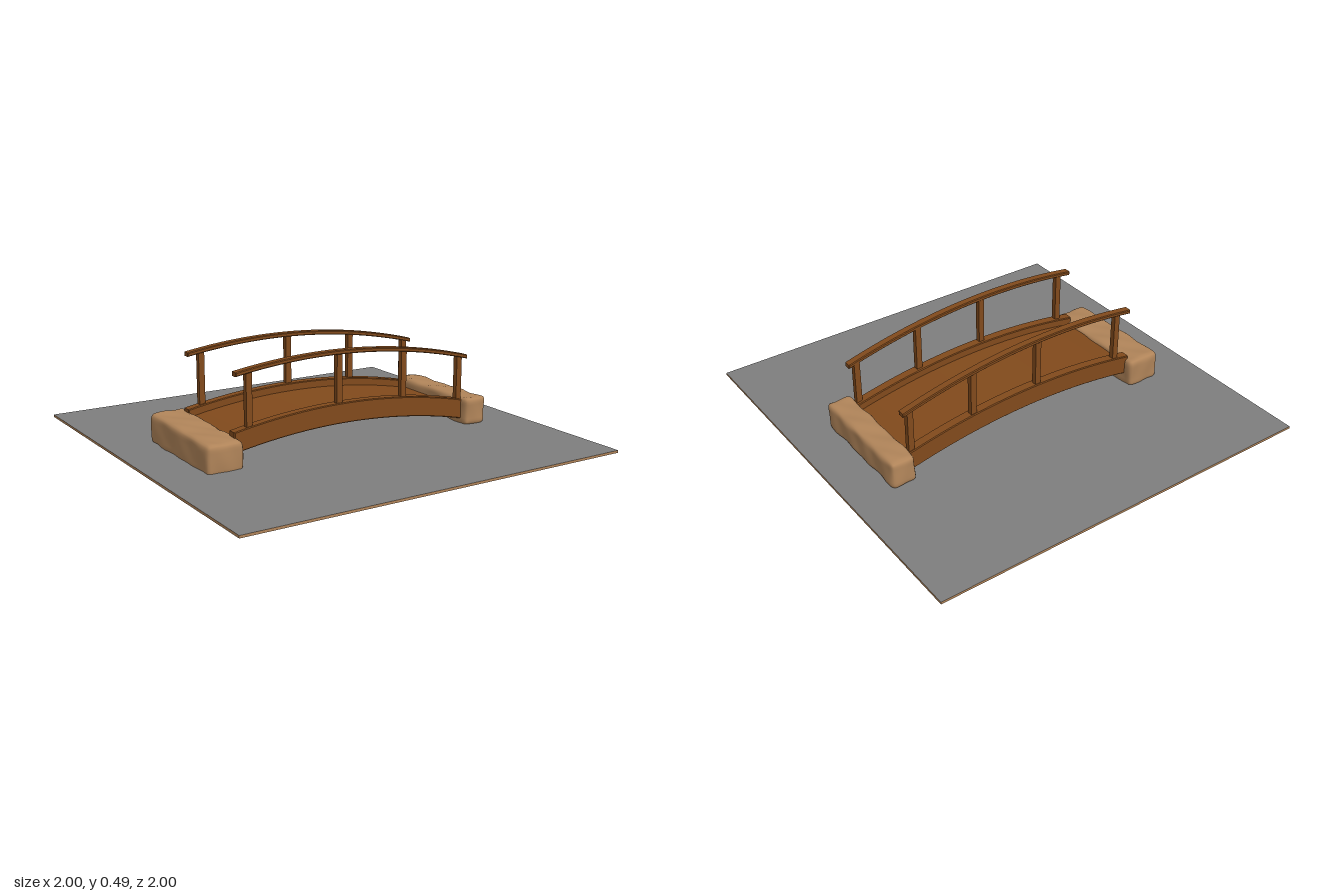
import * as THREE from 'three';
import { mergeVertices, toCreasedNormals } from 'three/addons/utils/BufferGeometryUtils.js';

const flat = (name, color) => {
  const m = new THREE.MeshStandardMaterial({ color });
  m.name = name;
  return m;
};

// Heights of the two arches along the bridge
const beamTop = (x) => 0.236 - 0.165 * (x + 0.04) ** 2;
const railTop = (x) => 0.491 - 0.165 * (x + 0.13) ** 2;

// Arched bar: a band below the given curve, extruded along z
function archedBar(topAt, thickness, x0, x1, z0, z1) {
  const steps = 28;
  const top = [], bottom = [];
  for (let i = 0; i <= steps; i++) {
    const x = THREE.MathUtils.lerp(x0, x1, i / steps);
    bottom.push(new THREE.Vector2(x, topAt(x) - thickness));
    top.unshift(new THREE.Vector2(x, topAt(x)));
  }
  const bevel = 0.004;
  const geometry = new THREE.ExtrudeGeometry(new THREE.Shape([...bottom, ...top]), {
    depth: z1 - z0 - 2 * bevel, bevelThickness: bevel, bevelSize: bevel,
    bevelOffset: -bevel, bevelSegments: 1,
  });
  geometry.translate(0, 0, z0 + bevel);
  return toCreasedNormals(geometry, 0.5);
}

// Worn stone block: a dense box with rounded edges and a gently wavy surface
function stoneBlock(w, h, d, seed) {
  const box = new THREE.BoxGeometry(w, h, d, 12, 12, 36);
  box.deleteAttribute('normal');
  box.deleteAttribute('uv');
  const geometry = mergeVertices(box);
  const pos = geometry.attributes.position;
  const r = 0.024;
  const half = new THREE.Vector3(w / 2 - r, h / 2 - r, d / 2 - r);
  const p = new THREE.Vector3(), core = new THREE.Vector3(), out = new THREE.Vector3();
  for (let i = 0; i < pos.count; i++) {
    p.fromBufferAttribute(pos, i);
    core.copy(p).clamp(half.clone().negate(), half);
    out.copy(p).sub(core).normalize();
    const wave = 0.002 * Math.sin(p.z * 24 + p.y * 30 + seed)
      + 0.002 * Math.sin(p.x * 55 - p.z * 41 + p.y * 22 + seed * 2);
    p.copy(core).addScaledVector(out, r + wave - 0.001);
    pos.setXYZ(i, p.x, p.y, p.z);
  }
  geometry.computeVertexNormals();
  return geometry;
}

export function createModel() {
  const group = new THREE.Group();
  const wood = flat('wood', 0x814a1c);
  const stone = flat('sandstone', 0xb08459);
  const paving = flat('grey paving', 0x7e7e7e);

  const add = (name, geometry, material, x = 0, y = 0, z = 0) => {
    const mesh = new THREE.Mesh(geometry, material);
    mesh.name = name;
    mesh.position.set(x, y, z);
    group.add(mesh);
    return mesh;
  };

  // Base slab: grey paving on top, sandstone on the sides and underneath
  add('baseSlab', new THREE.BoxGeometry(2, 0.012, 2),
    [stone, stone, paving, stone, stone, stone], 0, 0.022, 0);

  // Stone footings, the wider one sinking slightly toward the front
  const wide = add('wideFooting', stoneBlock(0.182, 0.153, 0.605, 1), stone, -0.685, 0.088, 0.003);
  wide.rotation.x = 0.025;
  add('narrowFooting', stoneBlock(0.13, 0.14, 0.595, 4), stone, 0.729, 0.093, -0.001);

  // Walking deck between the side beams
  add('deck', archedBar((x) => beamTop(x) - 0.038, 0.03, -0.61, 0.675, -0.21, 0.21), wood);

  // Side beams, handrails and posts, mirrored front and back
  for (const [side, s] of [['front', 1], ['back', -1]]) {
    const band = (a, b) => (s > 0 ? [a, b] : [-b, -a]);
    add(side + 'Beam', archedBar(beamTop, 0.099, -0.615, 0.675, ...band(0.203, 0.253)), wood);
    add(side + 'Handrail', archedBar(railTop, 0.02, -0.605, 0.697, ...band(0.216, 0.257)), wood);
    for (const x of [-0.533, -0.053, 0.315, 0.655]) {
      const low = beamTop(x) - 0.03, high = railTop(x) - 0.008;
      add(side + 'Post', new THREE.BoxGeometry(0.03, high - low, 0.026), wood,
        x, (low + high) / 2, s * 0.232);
    }
  }
  return group;
}
